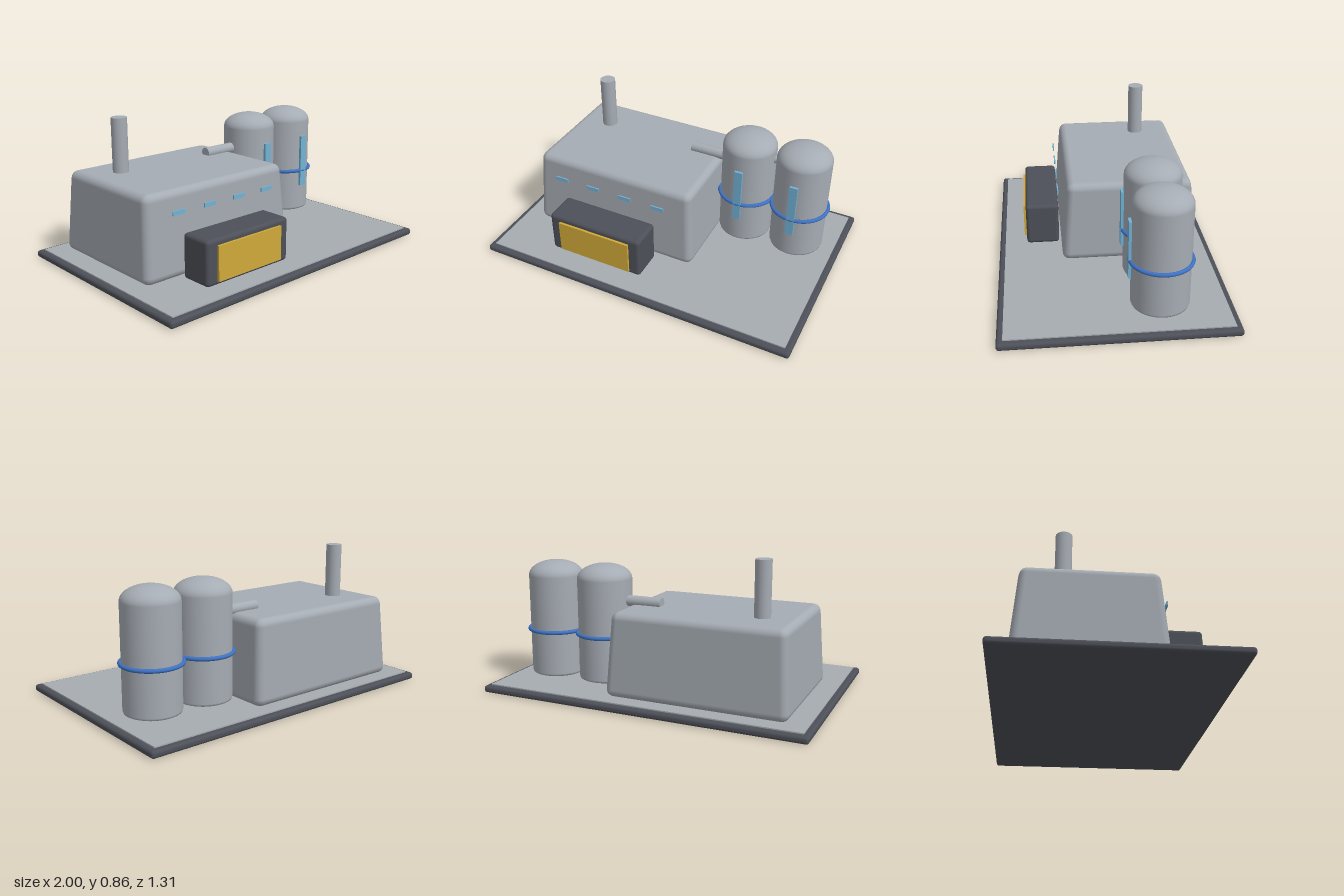
import * as THREE from 'three';
import { RoundedBoxGeometry } from 'three/addons/geometries/RoundedBoxGeometry.js';

const material = (name, color) => {
  const m = new THREE.MeshStandardMaterial({ color });
  m.name = name;
  return m;
};

export function createModel() {
  const wall = material('wall grey', 0xa6acb4);
  const concrete = material('concrete grey', 0xa5acb0);
  const dark = material('dark grey', 0x4d5058);
  const yellow = material('door yellow', 0xd0a93a);
  const glass = material('window blue', 0x72b2d4);
  const blue = material('hoop blue', 0x3f73c4);

  const model = new THREE.Group();
  model.name = 'factory';

  const add = (name, geometry, mat, x, y, z, parent = model) => {
    const mesh = new THREE.Mesh(geometry, mat);
    mesh.name = name;
    mesh.position.set(x, y, z);
    parent.add(mesh);
    return mesh;
  };

  // Ground plate with a lighter yard on top
  add('basePlate', new RoundedBoxGeometry(2, 0.042, 1.31, 3, 0.017), dark, 0, 0.025, 0);
  add('yard', new THREE.BoxGeometry(1.93, 0.012, 1.24), concrete, 0, 0.047, 0);

  // Main hall: rounded box that narrows towards the roof
  const hall = new RoundedBoxGeometry(1.09, 0.495, 0.82, 2, 0.045);
  const p = hall.attributes.position;
  for (let i = 0; i < p.count; i++) {
    const t = p.getY(i) / 0.495 + 0.5;
    p.setX(i, p.getX(i) * (1 - 0.055 * t));
    p.setZ(i, p.getZ(i) * (1 - 0.095 * t));
  }
  add('mainHall', hall, wall, -0.315, 0.298, -0.138);

  // Row of small windows along the front
  for (let i = 0; i < 4; i++) {
    add('window', new THREE.BoxGeometry(0.082, 0.025, 0.008), glass, -0.645 + i * 0.22, 0.435, 0.284);
  }

  // Loading bay and its door
  add('loadingBay', new RoundedBoxGeometry(0.615, 0.265, 0.203, 3, 0.022), dark, -0.312, 0.181, 0.382);
  add('bayDoor', new THREE.BoxGeometry(0.475, 0.205, 0.018), yellow, -0.312, 0.176, 0.489);

  // Chimney
  add('chimney', new THREE.CylinderGeometry(0.047, 0.047, 0.35, 32), wall, -0.624, 0.693, -0.276);

  // Domed storage tanks with a hoop and a level gauge
  const profile = [[0, 0.07], [0.15, 0.07], [0.161, 0.075], [0.165, 0.087], [0.165, 0.087], [0.165, 0.685]]
    .map(([r, y]) => new THREE.Vector2(r, y));
  for (let i = 1; i <= 10; i++) {
    const a = (i / 10) * Math.PI / 2;
    profile.push(new THREE.Vector2(Math.max(0, 0.165 * Math.cos(a)), 0.685 + 0.09 * Math.sin(a)));
  }
  profile.splice(4, 1);
  for (const x of [0.38, 0.724]) {
    const tank = new THREE.Group();
    tank.name = 'storageTank';
    tank.position.set(x, 0, -0.242);
    model.add(tank);
    add('tankShell', new THREE.LatheGeometry(profile, 48), wall, 0, 0, 0, tank);
    add('tankHoop', new THREE.TorusGeometry(0.172, 0.012, 10, 48), blue, 0, 0.35, 0, tank).rotation.x = Math.PI / 2;
    add('levelGauge', new THREE.BoxGeometry(0.05, 0.345, 0.016), glass, 0, 0.418, 0.174, tank);
  }

  // Pipes from the hall roof to the tanks and between them
  const pipe = (name, x0, x1, y, r) => {
    add(name, new THREE.CylinderGeometry(r, r, x1 - x0, 24), wall, (x0 + x1) / 2, y, -0.244).rotation.z = Math.PI / 2;
  };
  pipe('roofPipe', 0, 0.26, 0.56, 0.033);
  pipe('linkPipe', 0.5, 0.6, 0.628, 0.025);

  return model;
}
